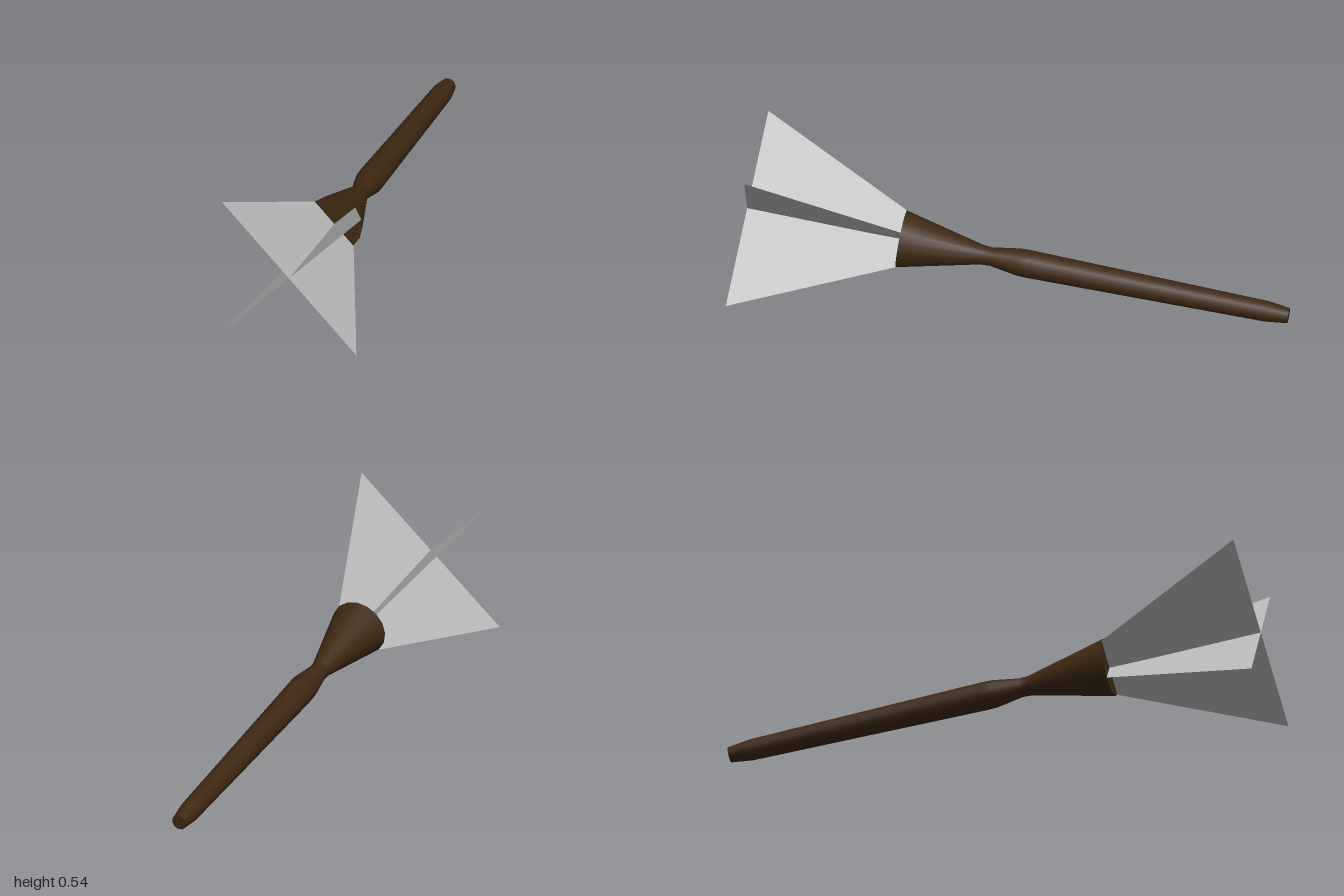
import * as THREE from 'three';

export function createModel() {
  const root = new THREE.Group();
  const wood = new THREE.MeshStandardMaterial({ color: 0x3d2812 });
  wood.name = 'dark wood';
  const bristle = new THREE.MeshStandardMaterial({ color: 0xb8b8b8, side: THREE.DoubleSide });
  bristle.name = 'grey bristle';

  const add = (parent, name, geometry, material) => {
    const mesh = new THREE.Mesh(geometry, material);
    mesh.name = name;
    parent.add(mesh);
    return mesh;
  };

  // Turned handle: [radius, distance from the back end]
  const profile = [
    [0.028, 0], [0.038, 0.08], [0.051, 0.95], [0.05, 0.985],
    [0.034, 1.085], [0.036, 1.12], [0.105, 1.413],
  ];
  const sides = 16;
  const length = profile[profile.length - 1][1];
  const handle = new THREE.Group();
  handle.name = 'handle';
  handle.position.set(0, 0.031, -0.997);
  handle.rotation.x = Math.acos(0.126); // rises gently towards the front
  root.add(handle);
  add(handle, 'shaft', new THREE.LatheGeometry(profile.map(p => new THREE.Vector2(...p)), sides), wood);

  // Flat ends of the handle
  add(handle, 'backEnd', new THREE.CircleGeometry(profile[0][0], sides).rotateX(Math.PI / 2), wood);
  add(handle, 'flaredEnd', new THREE.CircleGeometry(0.105, sides).rotateX(-Math.PI / 2).translate(0, length, 0), wood);

  // Two crossed sheets of bristles, each a trapezoid through the axis
  const sheet = (name, corners) => {
    const geometry = new THREE.BufferGeometry();
    geometry.setAttribute('position', new THREE.Float32BufferAttribute(corners.flat(), 3));
    geometry.setIndex([0, 1, 2, 0, 2, 3]);
    geometry.computeVertexNormals();
    add(root, name, geometry, bristle);
  };
  sheet('risingBristles', [
    [0.075, 0.281, 0.395], [-0.075, 0.134, 0.414], [-0.26, 0.017, 0.998], [0.26, 0.543, 0.93],
  ]);
  sheet('fallingBristles', [
    [-0.075, 0.281, 0.395], [0.075, 0.134, 0.414], [0.262, 0.025, 0.997], [-0.26, 0.533, 0.931],
  ]);
  return root;
}
